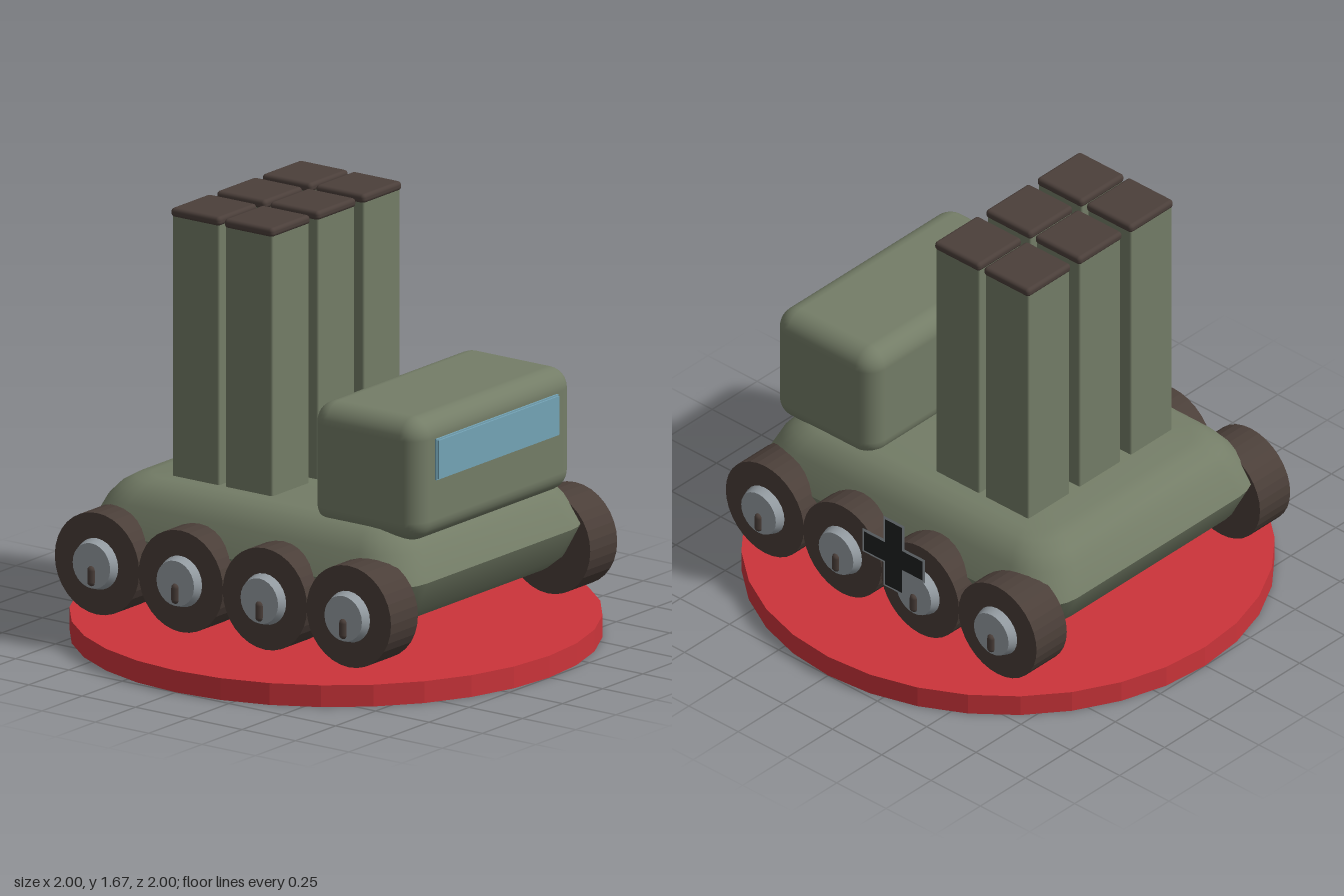
import * as THREE from 'three';
import { toCreasedNormals } from 'three/addons/utils/BufferGeometryUtils.js';
import { RoundedBoxGeometry } from 'three/addons/geometries/RoundedBoxGeometry.js';

const material = (name, color, options = {}) => {
  const m = new THREE.MeshStandardMaterial({ color, ...options });
  m.name = name;
  return m;
};

// Hull skin: rounded rectangles [y, half width, half depth, corner radius] joined in loops
function hullGeometry(levels, steps = 6) {
  const pos = [], index = [];
  const n = 4 * (steps + 1);
  for (const [y, a, b, r] of levels) {
    for (let q = 0; q < 4; q++) {
      const sx = q === 0 || q === 3 ? 1 : -1, sz = q < 2 ? 1 : -1;
      for (let s = 0; s <= steps; s++) {
        const t = (q + s / steps) * Math.PI / 2;
        pos.push(sx * (a - r) + r * Math.cos(t), y, sz * (b - r) + r * Math.sin(t));
      }
    }
  }
  for (let l = 0; l < levels.length - 1; l++) {
    for (let i = 0; i < n; i++) {
      const a = l * n + i, b = l * n + (i + 1) % n;
      index.push(a, a + n, b, b, a + n, b + n);
    }
  }
  const last = levels.length - 1, bottom = pos.length / 3, top = bottom + 1;
  pos.push(0, levels[0][0], 0, 0, levels[last][0], 0);
  for (let i = 0; i < n; i++) {
    const j = (i + 1) % n;
    index.push(bottom, i, j, top, last * n + j, last * n + i);
  }
  const g = new THREE.BufferGeometry();
  g.setAttribute('position', new THREE.Float32BufferAttribute(pos, 3));
  g.setIndex(index);
  return toCreasedNormals(g, 0.6);
}

// Equal-armed cross outline
function crossGeometry(half, arm) {
  const s = new THREE.Shape();
  const corners = [[arm, half], [arm, arm], [half, arm]];
  const points = [];
  for (const [sx, sy, flip] of [[1, 1, 0], [1, -1, 1], [-1, -1, 0], [-1, 1, 1]]) {
    const list = flip ? [...corners].reverse() : corners;
    for (const [x, y] of list) points.push(new THREE.Vector2(sx * x, sy * y));
  }
  s.setFromPoints(points);
  return new THREE.ShapeGeometry(s);
}

export function createModel() {
  const group = new THREE.Group();
  group.name = 'launcherTruck';
  const red = material('base red', 0xcc343a, { flatShading: true });
  const green = material('olive green', 0x747d67);
  const brown = material('dark brown', 0x4b3f3a);
  const tyreBrown = material('tyre brown', 0x4b3f39, { flatShading: true });
  const grey = material('hub grey', 0x979fa5, { side: THREE.DoubleSide });
  const blue = material('window blue', 0x74a4b6);
  const black = material('marking black', 0x202122);

  const add = (name, geometry, mat, x = 0, y = 0, z = 0, parent = group) => {
    const mesh = new THREE.Mesh(geometry, mat);
    mesh.name = name;
    mesh.position.set(x, y, z);
    parent.add(mesh);
    return mesh;
  };

  // Display base
  add('base', new THREE.CylinderGeometry(1, 1, 0.085, 32), red, 0, 0.0425, 0);

  // Hull
  add('hull', hullGeometry([
    [0.24, 0.48, 0.6, 0.1],
    [0.265, 0.54, 0.66, 0.13],
    [0.31, 0.58, 0.71, 0.15],
    [0.43, 0.63, 0.765, 0.18],
    [0.54, 0.582, 0.715, 0.17],
    [0.585, 0.545, 0.675, 0.15],
    [0.615, 0.5, 0.625, 0.12],
    [0.625, 0.45, 0.575, 0.1],
  ]), green);

  // Cab and windscreen
  add('cab', new RoundedBoxGeometry(0.99, 0.48, 0.505, 4, 0.08), green, 0, 0.82, 0.4975);
  add('windscreenBase', new THREE.BoxGeometry(0.76, 0.16, 0.009), blue, 0, 0.895, 0.753);
  add('windscreen', new THREE.BoxGeometry(0.75, 0.15, 0.009), blue, 0, 0.895, 0.7605);

  // Launch tubes with lids
  const tube = new RoundedBoxGeometry(0.23, 1.09, 0.22, 2, 0.008);
  const lid = new RoundedBoxGeometry(0.242, 0.036, 0.23, 3, 0.015);
  for (const x of [-0.285, 0, 0.285]) {
    for (const z of [-0.108, -0.358]) {
      add('launchTube', tube, green, x, 1.1, z);
      add('tubeLid', lid, brown, x, 1.652, z);
    }
  }

  // Four wheels on each side
  const tyre = new THREE.CylinderGeometry(0.198, 0.198, 0.168, 32).rotateZ(-Math.PI / 2);
  const hub = toCreasedNormals(
    new THREE.CylinderGeometry(0.088, 0.1, 0.036, 24).rotateZ(-Math.PI / 2), 0.5);
  const stud = new THREE.CapsuleGeometry(0.017, 0.045, 4, 10);
  for (const side of [1, -1]) {
    for (const z of [0.59, 0.197, -0.197, -0.59]) {
      const wheel = new THREE.Group();
      wheel.name = side > 0 ? 'leftWheel' : 'rightWheel';
      wheel.position.set(0, 0.33, z);
      wheel.rotation.y = side > 0 ? 0 : Math.PI;
      add('tyre', tyre, tyreBrown, 0.621, 0, 0, wheel);
      add('hub', hub, grey, 0.722, 0, 0, wheel);
      add('hubStud', stud, brown, 0.738, -0.04, 0, wheel);
      group.add(wheel);
    }
  }

  // Cross marking on the left side
  const border = add('crossBorder', crossGeometry(0.158, 0.053), grey, 0.757, 0.474, -0.112);
  const cross = add('cross', crossGeometry(0.148, 0.043), black, 0.76, 0.474, -0.112);
  border.rotation.y = cross.rotation.y = Math.PI / 2;

  return group;
}
